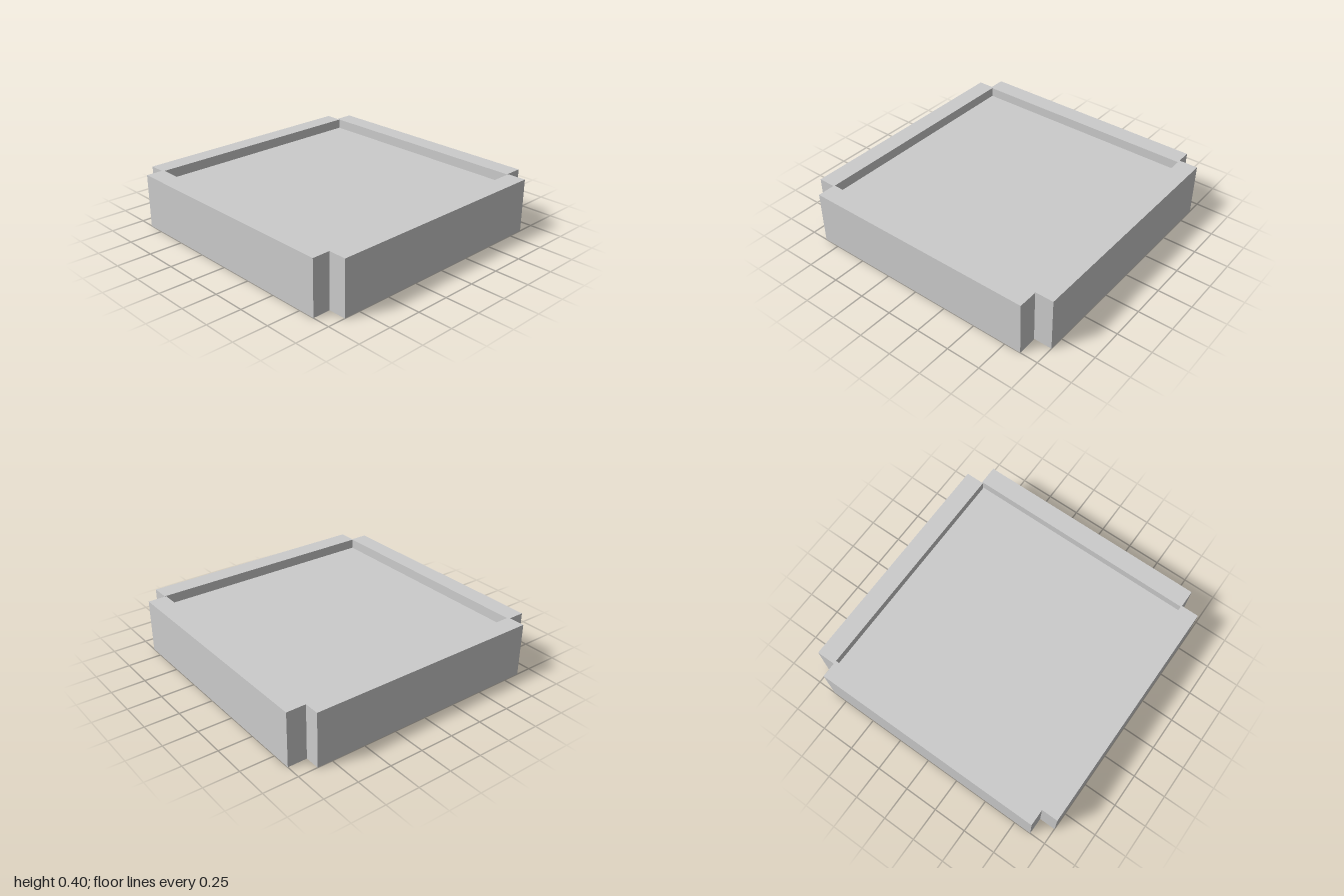
import * as THREE from 'three';

const HEIGHT = 0.395;

// Box given by its minimum and maximum corners
function block(name, material, [x0, y0, z0], [x1, y1, z1]) {
  const mesh = new THREE.Mesh(new THREE.BoxGeometry(x1 - x0, y1 - y0, z1 - z0), material);
  mesh.position.set((x0 + x1) / 2, (y0 + y1) / 2, (z0 + z1) / 2);
  mesh.name = name;
  return mesh;
}

export function createModel() {
  const grey = new THREE.MeshStandardMaterial({ name: 'light grey', color: 0xcccccc });
  const dark = new THREE.MeshStandardMaterial({ name: 'dark grey', color: 0x6c6c6c });
  const brown = new THREE.MeshStandardMaterial({ name: 'ochre', color: 0xe6b562 });

  const group = new THREE.Group();
  group.name = 'framedTray';

  // Four frame walls, leaving a small notch at each corner: x0, x1, z0, z1
  const walls = {
    frontWall: [-0.87, 0.87, 0.86, 1],
    backWall: [-0.88, 0.86, -1, -0.865],
    leftWall: [0.86, 1, -0.89, 0.855],
    rightWall: [-1, -0.865, -0.88, 0.87],
  };
  for (const [name, [x0, x1, z0, z1]] of Object.entries(walls)) {
    group.add(block(name, grey, [x0, 0, z0], [x1, HEIGHT, z1]));
  }

  // Recessed panel: grey above, dark lining below
  group.add(block('panel', grey, [-0.865, 0.319, -0.865], [0.86, 0.323, 0.86]));
  group.add(block('panelLining', dark, [-0.865, 0.315, -0.865], [0.86, 0.319, 0.86]));

  // Ochre plate on the underside of the panel
  group.add(block('undersidePlate', brown, [-0.26, 0.312, -0.515], [0.265, 0.315, 0.515]));

  return group;
}
